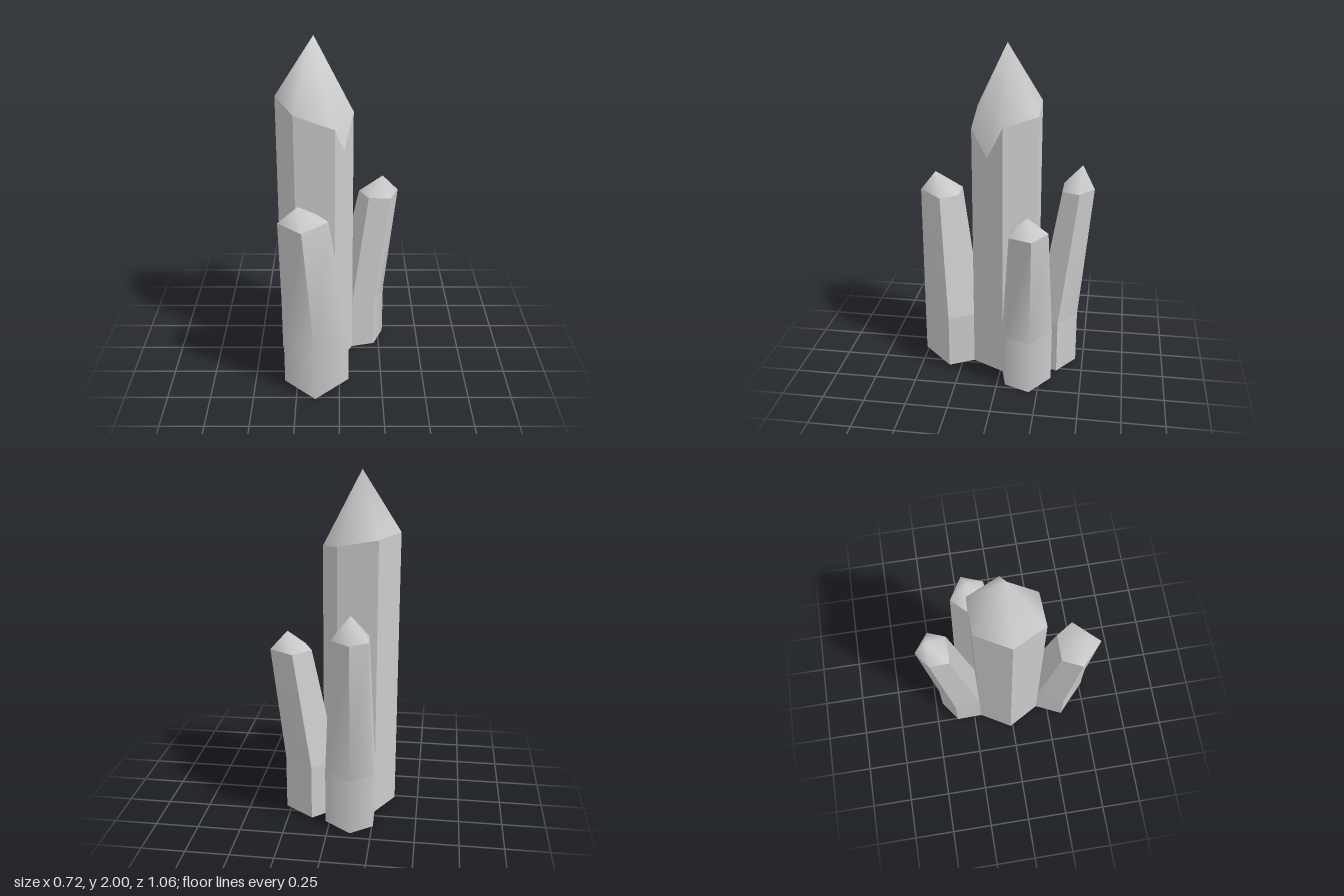
import * as THREE from 'three';

const material = new THREE.MeshStandardMaterial({ color: 0xcccccc });
const V = (x, y, z) => new THREE.Vector3(x, y, z);

// ring of points from [x, z] corners at one height (or one height per corner)
const ring = (corners, y) =>
  corners.map(([x, z], i) => V(x, Array.isArray(y) ? y[i] : y, z));

function mesh(name, positions, normals, index) {
  const g = new THREE.BufferGeometry();
  g.setAttribute('position', new THREE.Float32BufferAttribute(positions.flatMap(p => p.toArray()), 3));
  if (index) g.setIndex(index);
  if (normals) g.setAttribute('normal', new THREE.Float32BufferAttribute(normals.flatMap(n => n.toArray()), 3));
  else g.computeVertexNormals();
  const m = new THREE.Mesh(g, material);
  m.name = name;
  return m;
}

// walls between stacked rings; the outer corner is softened on the rings below the top
function walls(rings, softCorner = -1, skipInner = false) {
  const pos = [], nor = [];
  const n = rings[0].length;
  for (let r = 0; r < rings.length - 1; r++) {
    const lo = rings[r], hi = rings[r + 1];
    const faceNormal = i => {
      const j = (i + 1) % n;
      return hi[j].clone().sub(lo[i]).cross(hi[i].clone().sub(lo[j])).normalize();
    };
    for (let i = 0; i < n; i++) {
      if (skipInner && r === 0 && i === 0) continue; // shared with the main crystal
      const j = (i + 1) % n;
      const flat = faceNormal(i);
      const at = (k, level) => k === softCorner && level < rings.length - 1
        ? faceNormal((k + n - 1) % n).add(faceNormal(k)).normalize() : flat;
      const q = [[lo[i], at(i, r)], [lo[j], at(j, r)], [hi[j], at(j, r + 1)], [hi[i], at(i, r + 1)]];
      for (const k of [0, 1, 2, 0, 2, 3]) { pos.push(q[k][0]); nor.push(q[k][1]); }
    }
  }
  return mesh('walls', pos, nor);
}

// smooth pointed cap over a ring
function tip(base, apex) {
  const n = base.length;
  const index = base.flatMap((_, i) => [i, (i + 1) % n, n]);
  return mesh('tip', [...base, apex], null, index);
}

// flat underside
function underside(base) {
  const index = [];
  for (let i = 1; i < base.length - 1; i++) index.push(0, i + 1, i);
  return mesh('underside', base, null, index);
}

function crystal(name, rings, apex, softCorner, skipInner) {
  const group = new THREE.Group();
  group.name = name;
  group.add(walls(rings, softCorner, skipInner), tip(rings[rings.length - 1], apex), underside(rings[0]));
  return group;
}

// leaning five-sided crystal: upright foot, then a tapering shaft
function shard(name, foot, top, topY, apex) {
  return crystal(name, [ring(foot, 0), ring(foot, 0.33), ring(top, topY)], apex, 3, true);
}

export function createModel() {
  const model = new THREE.Group();
  model.name = 'crystalCluster';

  // tall six-sided crystal, with a chipped notch in its front right face
  const hex = [[-0.25, 0.18], [-0.025, 0.18], [0.0275, 0.0825], [0.08, -0.015],
    [-0.025, -0.205], [-0.25, -0.205], [-0.36, -0.015]];
  model.add(crystal('mainCrystal',
    [ring(hex, 0), ring(hex, [1.61, 1.53, 1.37, 1.57, 1.61, 1.65, 1.66])], V(-0.14, 2, -0.012)));

  // small crystals; the first two corners of each foot lie on the main crystal
  model.add(shard('frontCrystal',
    [[-0.025, 0.18], [-0.25, 0.18], [-0.325, 0.34], [-0.14, 0.515], [0.055, 0.325]],
    [[-0.125, 0.285], [-0.28, 0.285], [-0.335, 0.4], [-0.2, 0.53], [-0.06, 0.385]],
    1.08, V(-0.22, 1.195, 0.44)));
  model.add(shard('sideCrystal',
    [[-0.025, -0.205], [0.08, -0.015], [0.22, -0.05], [0.28, -0.2], [0.11, -0.318]],
    [[0.12, -0.195], [0.175, -0.08], [0.305, -0.08], [0.355, -0.21], [0.215, -0.293]],
    1.01, V(0.26, 1.115, -0.18)));
  model.add(shard('backCrystal',
    [[-0.25, -0.205], [-0.025, -0.205], [0.025, -0.345], [-0.13, -0.455], [-0.255, -0.365]],
    [[-0.22, -0.345], [-0.06, -0.345], [-0.02, -0.447], [-0.13, -0.53], [-0.225, -0.46]],
    1.16, V(-0.13, 1.305, -0.457)));
  return model;
}
